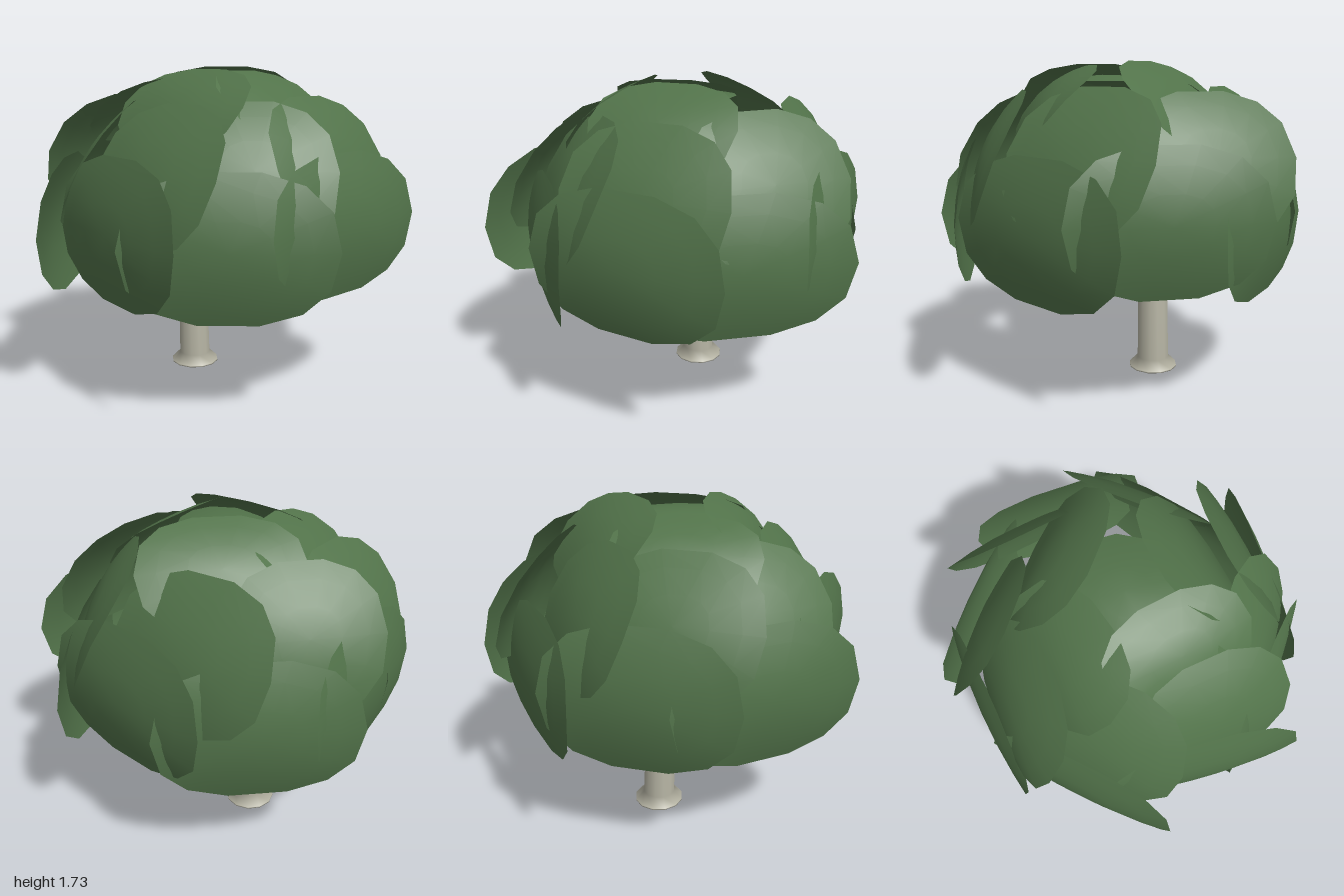
import * as THREE from 'three';

const leafGreen = new THREE.MeshStandardMaterial({ color: 0x52734a, side: THREE.DoubleSide });
leafGreen.name = 'leafGreen';
const barkGrey = new THREE.MeshStandardMaterial({ color: 0xb2b0a0 });
barkGrey.name = 'barkGrey';

// Thin rounded leaf sheet, curved towards +z, more along its height than its width
function leafSheet(width, height, bulge) {
  const sides = 14, rings = [0.4, 0.75, 1];
  const pos = [0, 0, bulge * 0.7], idx = [];
  const power = (c) => Math.sign(c) * Math.pow(Math.abs(c), 0.83);
  rings.forEach((r, k) => {
    for (let i = 0; i < sides; i++) {
      const t = (i / sides) * Math.PI * 2;
      const u = r * power(Math.cos(t)), v = r * power(Math.sin(t));
      pos.push(u * width / 2, v * height / 2, bulge * (0.7 - 0.45 * u * u - v * v));
      const j = (i + 1) % sides, a = 1 + k * sides + i, b = 1 + k * sides + j;
      if (k === 0) idx.push(0, a, b);
      else idx.push(a - sides, a, b, a - sides, b, b - sides);
    }
  });
  const geo = new THREE.BufferGeometry();
  geo.setAttribute('position', new THREE.Float32BufferAttribute(pos, 3));
  geo.setIndex(idx);
  geo.computeVertexNormals();
  return geo;
}

// Each leaf sheet: x, y, z, facing (degrees from front towards +x), upward tilt, width, height
const lowerRing = [
  [0.01, 0.98, 0.83, -9, 3, 1.04, 0.71],
  [-0.55, 0.91, 0.55, -51, 2, 1.02, 0.73],
  [-0.79, 0.96, 0.06, -101, 2, 1.0, 0.73],
  [-0.59, 0.92, -0.54, -143, 2, 1.02, 0.72],
  [-0.03, 0.95, -0.80, 180, 2, 0.98, 0.74],
  [0.57, 0.91, -0.58, 132, 2, 1.0, 0.73],
  [0.82, 1.01, 0.01, 84, 2, 0.98, 0.72],
  [0.49, 0.93, 0.57, 31, 2, 1.15, 0.73],
];
const middleRing = [
  [0.06, 1.26, 0.70, -4, 24, 0.86, 0.74],
  [-0.37, 1.24, 0.55, -46, 26, 0.80, 0.76],
  [-0.64, 1.23, 0.18, -92, 27, 0.80, 0.76],
  [-0.51, 1.25, -0.37, -140, 31, 0.83, 0.76],
  [-0.17, 1.27, -0.65, 178, 28, 0.83, 0.74],
  [0.26, 1.28, -0.63, 136, 26, 0.76, 0.74],
  [0.66, 1.26, -0.26, 92, 24, 0.86, 0.74],
  [0.57, 1.28, 0.37, 40, 28, 0.84, 0.78],
];
const crown = [
  [0.03, 1.53, 0.38, 0, 46, 0.76, 0.56],
  [-0.36, 1.53, 0.10, -88, 44, 0.76, 0.56],
  [-0.14, 1.51, -0.37, -172, 50, 0.76, 0.56],
  [0.33, 1.53, -0.20, 133, 44, 0.82, 0.60],
  [-0.02, 1.60, 0.00, -150, 80, 0.60, 0.56],
];

function foliage(name, rows, bulge) {
  const group = new THREE.Group();
  group.name = name;
  rows.forEach(([x, y, z, facing, tilt, w, h], i) => {
    const sheet = new THREE.Mesh(leafSheet(w, h, bulge), leafGreen);
    sheet.name = 'leafSheet' + (i + 1);
    sheet.position.set(x, y, z);
    const rad = Math.PI / 180;
    sheet.rotation.set(-tilt * rad, facing * rad, 0, 'YXZ');
    group.add(sheet);
  });
  return group;
}

// Tapered round branch between two points
function branch(name, from, to, r0, r1) {
  const a = new THREE.Vector3(...from), b = new THREE.Vector3(...to);
  const dir = b.clone().sub(a);
  const mesh = new THREE.Mesh(new THREE.CylinderGeometry(r1, r0, dir.length(), 12), barkGrey);
  mesh.name = name;
  mesh.position.copy(a).add(b).multiplyScalar(0.5);
  mesh.quaternion.setFromUnitVectors(new THREE.Vector3(0, 1, 0), dir.normalize());
  return mesh;
}

export function createModel() {
  const tree = new THREE.Group();
  tree.name = 'tree';

  // Trunk with a flared foot, leaning slightly as it rises
  const profile = [[0, 0], [0.137, 0], [0.137, 0.008], [0.09, 0.055], [0.082, 0.64], [0, 0.68]];
  const trunkShape = new THREE.LatheGeometry(profile.map(([r, y]) => new THREE.Vector2(r, y)), 12);
  const p = trunkShape.attributes.position;
  for (let i = 0; i < p.count; i++) p.setX(i, p.getX(i) - 0.03 * p.getY(i));
  const trunk = new THREE.Mesh(trunkShape, barkGrey);
  trunk.name = 'trunk';
  trunk.position.set(0.042, 0, -0.182);
  tree.add(trunk);

  // Forked branches
  tree.add(branch('leftBranch', [0.04, 0.59, -0.18], [0.48, 0.97, -0.09], 0.078, 0.055));
  tree.add(branch('rightBranch', [0.02, 0.64, -0.19], [-0.26, 0.97, -0.44], 0.07, 0.055));

  // Overlapping foliage, open underneath
  tree.add(foliage('lowerFoliage', lowerRing, 0.08));
  tree.add(foliage('middleFoliage', middleRing, 0.08));
  tree.add(foliage('crownFoliage', crown, 0.07));
  return tree;
}
